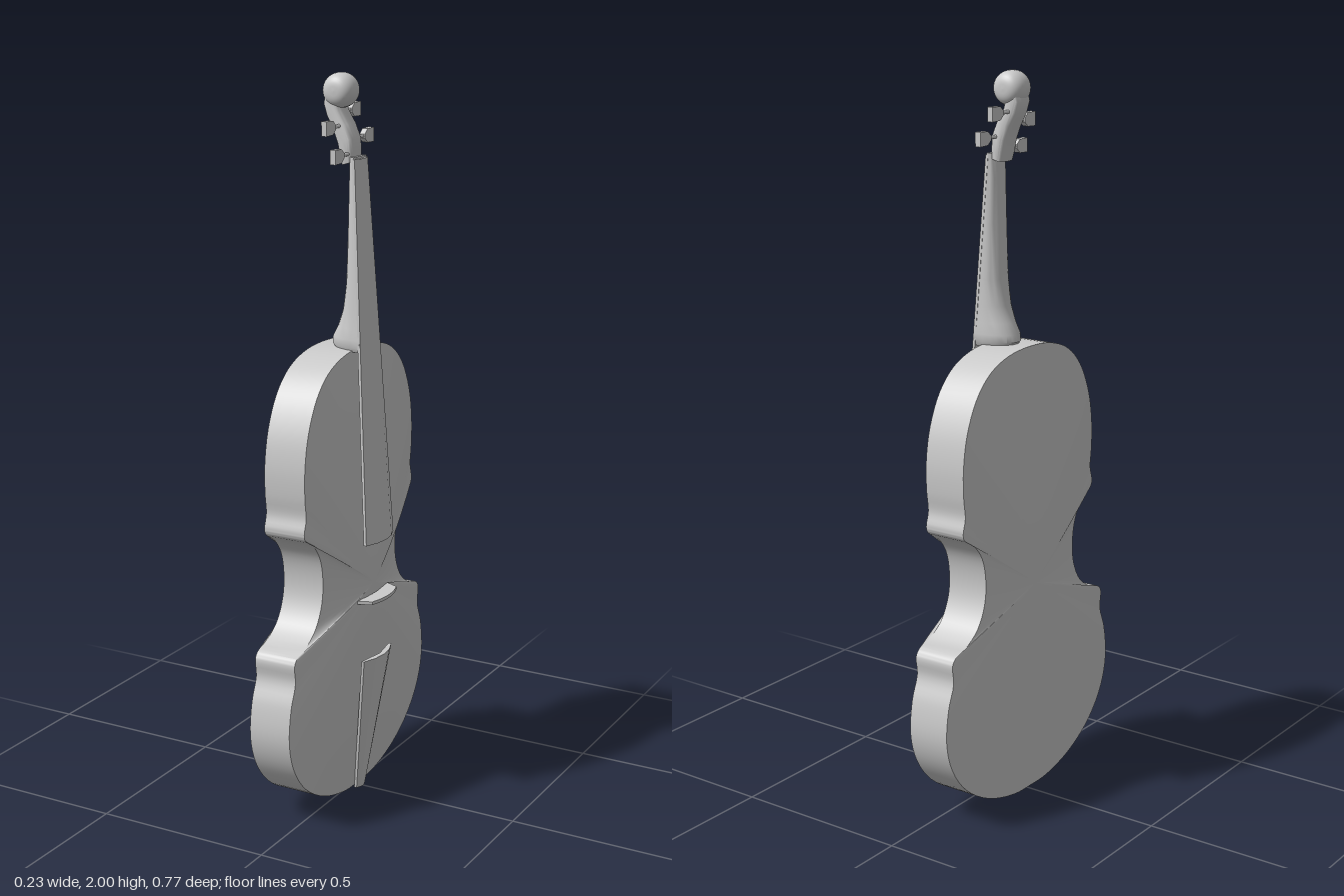
import * as THREE from 'three';
import { toCreasedNormals } from 'three/addons/utils/BufferGeometryUtils.js';

const material = new THREE.MeshStandardMaterial({ color: 0xcccccc, side: THREE.DoubleSide });

// Skin a list of equal-length closed rings of Vector3, capping both ends.
function loft(rings, crease = 0.6) {
  const n = rings[0].length;
  const pts = rings.flat();
  const index = [];
  for (let r = 0; r < rings.length - 1; r++) {
    for (let i = 0; i < n; i++) {
      const a = r * n + i, b = r * n + (i + 1) % n;
      index.push(a, b, b + n, a, b + n, a + n);
    }
  }
  [0, rings.length - 1].forEach((r) => {
    const c = pts.length;
    pts.push(rings[r].reduce((s, p) => s.add(p), new THREE.Vector3()).divideScalar(n));
    for (let i = 0; i < n; i++) {
      const a = r * n + i, b = r * n + (i + 1) % n;
      if (r === 0) index.push(c, b, a);
      else index.push(c, a, b);
    }
  });
  // Turn the faces outward
  let volume = 0;
  const cross = new THREE.Vector3();
  for (let i = 0; i < index.length; i += 3) {
    volume += pts[index[i]].dot(cross.crossVectors(pts[index[i + 1]], pts[index[i + 2]]));
  }
  if (volume < 0) index.reverse();
  const geometry = new THREE.BufferGeometry().setFromPoints(pts);
  geometry.setIndex(index);
  return toCreasedNormals(geometry, crease);
}

function part(name, geometry) {
  const mesh = new THREE.Mesh(geometry, material);
  mesh.name = name;
  return mesh;
}

// Rounded-box ring in the xz plane, tilted by dy per unit of x
function roundedRing(cx, y, hx, hz, tilt = 0, power = 0.6, n = 24) {
  const soft = (v) => Math.sign(v) * Math.abs(v) ** power;
  return Array.from({ length: n }, (_, i) => {
    const t = i / n * Math.PI * 2, dx = hx * soft(Math.cos(t));
    return new THREE.Vector3(cx + dx, y + dx * tilt, hz * soft(Math.sin(t)));
  });
}

// Body: outlined box with arched back and belly, facing +x
function body() {
  const half = [
    [0.08, 0.013], [0.2, 0.047], [0.3, 0.11], [0.362, 0.19], [0.386, 0.275], [0.376, 0.37],
    [0.353, 0.435], [0.357, 0.485], [0.345, 0.503], [0.295, 0.52], [0.245, 0.555], [0.213, 0.615],
    [0.207, 0.68], [0.222, 0.745], [0.257, 0.79], [0.3, 0.818], [0.305, 0.835], [0.295, 0.875],
    [0.301, 0.93], [0.301, 1.01], [0.283, 1.1], [0.24, 1.185], [0.18, 1.24], [0.1, 1.27],
  ];
  const outline = [[0, 0.01], ...half, [0, 1.279], ...half.map(([z, y]) => [-z, y]).reverse()];
  const curve = new THREE.CatmullRomCurve3(
    outline.map(([z, y]) => new THREE.Vector3(0, y, z)), true, 'centripetal');
  const edge = curve.getPoints(200).slice(0, -1);
  const yMid = 0.62;
  const ring = (s, x) => edge.map((p) => {
    const y = yMid + (p.y - yMid) * s;
    return new THREE.Vector3(x + 0.005 * y, y, p.z * s);
  });
  const steps = [0.01, 0.12, 0.25, 0.4, 0.55, 0.7, 0.85, 1];
  const back = steps.map((s) => ring(s, -0.101 - 0.017 * (1 - s ** 1.6)));
  const belly = steps.map((s) => ring(s, 0.02 + 0.045 * (1 - s ** 1.6))).reverse();
  return part('body', loft([...back, ...belly]));
}

// Strip arched across its width, lofted between two ends { x, y, w, rise, t }
function archedStrip(name, ends, segments = 4) {
  const rings = ends.map(({ x, y, w, rise, t }) => {
    const row = (drop) => Array.from({ length: segments + 1 }, (_, i) => {
      const u = i / segments * 2 - 1;
      return new THREE.Vector3(x - drop - rise * u * u, y, u * w);
    });
    return [...row(0), ...row(t).reverse()];
  });
  return part(name, loft(rings, 0.15));
}

// Neck: half-round shaft flaring into the heel
function neck() {
  const sections = [ // y, back x, front x, half width
    [1.272, -0.046, 0.052, 0.05], [1.285, -0.055, 0.051, 0.056], [1.305, -0.054, 0.05, 0.056],
    [1.335, -0.038, 0.048, 0.053], [1.38, -0.022, 0.046, 0.05], [1.45, -0.012, 0.042, 0.047],
    [1.6, -0.006, 0.033, 0.042], [1.72, -0.003, 0.026, 0.037], [1.785, 0, 0.022, 0.035],
  ];
  const n = 16;
  return part('neck', loft(sections.map(([y, xb, xf, w]) =>
    Array.from({ length: n + 1 }, (_, i) => {
      const t = i / n * Math.PI;
      return new THREE.Vector3(xf + (xb - xf) * Math.sin(t) ** 0.8, y, w * Math.cos(t));
    }))));
}

// Pegbox: swan-necked bar leaning back to the scroll
function pegbox() {
  const sections = [ // centre x, y, half depth, half width
    [-0.003, 1.767, 0.016, 0.033], [-0.005, 1.79, 0.02, 0.035], [-0.01, 1.825, 0.023, 0.035],
    [-0.025, 1.862, 0.023, 0.034], [-0.044, 1.895, 0.022, 0.033], [-0.053, 1.925, 0.022, 0.033],
    [-0.05, 1.95, 0.02, 0.032],
  ];
  return part('pegbox', loft(sections.map(([x, y, hx, hz]) => roundedRing(x, y, hx, hz, 0.3))));
}

// Scroll: rounded drum across z
function scroll() {
  const profile = Array.from({ length: 21 }, (_, i) => {
    const t = i / 20 * Math.PI - Math.PI / 2;
    return new THREE.Vector2(0.046 * Math.max(Math.cos(t), 0) ** 0.7,
      0.043 * Math.sign(t) * Math.abs(Math.sin(t)) ** 0.85);
  });
  const geometry = new THREE.LatheGeometry(profile, 32).rotateX(Math.PI / 2);
  const mesh = part('scroll', geometry);
  mesh.position.set(-0.034, 1.953, 0);
  return mesh;
}

// Tuning peg: shaft with a tapered flat head, pointing to +z or -z
function peg(x, y, side) {
  const group = new THREE.Group();
  group.name = 'tuningPeg';
  const shaft = part('pegShaft', new THREE.CylinderGeometry(0.005, 0.005, 0.1, 10));
  shaft.rotation.x = Math.PI / 2;
  shaft.position.z = 0.03;
  const outline = [[0.063, 0.005], [0.078, 0.018], [0.112, 0.019]];
  const shape = new THREE.Shape([...outline, ...outline.map(([a, b]) => [a, -b]).reverse()]
    .map(([a, b]) => new THREE.Vector2(a, b)));
  const head = part('pegHead', new THREE.ExtrudeGeometry(shape, { depth: 0.016, bevelEnabled: false })
    .translate(0, 0, -0.008).rotateY(-Math.PI / 2));
  group.add(shaft, head);
  group.position.set(x, y, 0);
  if (side < 0) group.rotation.y = Math.PI;
  return group;
}

// Bridge: thin upright plate with an arched top
function bridge() {
  const shape = new THREE.Shape();
  shape.moveTo(-0.088, 0.06);
  shape.lineTo(-0.07, 0.1);
  shape.quadraticCurveTo(0, 0.125, 0.07, 0.1);
  shape.lineTo(0.088, 0.06);
  shape.quadraticCurveTo(0, 0.08, -0.088, 0.06);
  const geometry = new THREE.ExtrudeGeometry(shape, { depth: 0.009, bevelEnabled: false, curveSegments: 8 });
  geometry.rotateX(Math.PI / 2).rotateY(Math.PI / 2); // shape y -> +x, depth -> -y
  const mesh = part('bridge', geometry);
  mesh.position.y = 0.589;
  return mesh;
}

export function createModel() {
  const model = new THREE.Group();
  model.name = 'stringInstrument';
  model.add(body(), neck(), pegbox(), scroll(), bridge());
  model.add(archedStrip('fingerboard', [
    { x: 0.033, y: 1.78, w: 0.036, rise: 0.008, t: 0.008 },
    { x: 0.105, y: 0.748, w: 0.078, rise: 0.02, t: 0.008 },
  ]));
  model.add(archedStrip('tailpiece', [
    { x: 0.1, y: 0.413, w: 0.08, rise: 0.02, t: 0.008 },
    { x: 0.034, y: 0.0, w: 0.024, rise: 0.008, t: 0.008 },
  ]));
  const pegs = [[-0.045, 1.895, -1], [-0.022, 1.864, 1], [-0.006, 1.829, -1], [0.003, 1.793, 1]];
  pegs.forEach(([x, y, side]) => model.add(peg(x, y, side)));
  return model;
}
